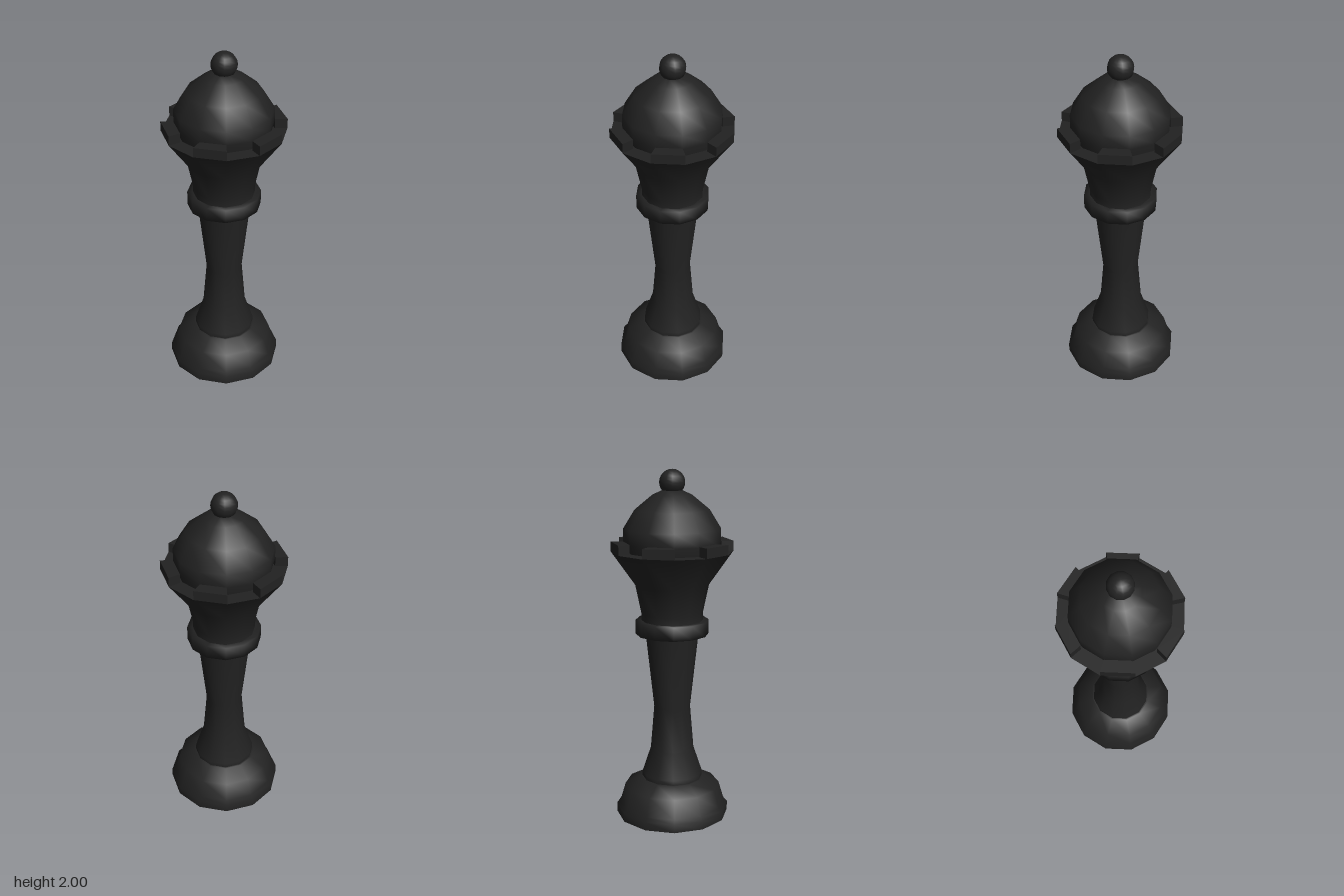
import * as THREE from 'three';

const SIDES = 12;
const HALF = Math.PI / SIDES;
const CORNER = 1 / Math.cos(HALF); // flat-to-centre distance -> corner radius

export function createModel() {
  const group = new THREE.Group();
  group.name = 'chessQueen';
  const ebony = new THREE.MeshStandardMaterial({ color: 0x222222, side: THREE.DoubleSide });
  ebony.name = 'ebony';

  // Twelve-sided turned part; profile of [flat distance, height] from bottom to top
  function turned(name, profile) {
    const points = profile.map(([r, y]) => new THREE.Vector2(r * CORNER, y));
    const mesh = new THREE.Mesh(new THREE.LatheGeometry(points, SIDES, HALF), ebony);
    mesh.name = name;
    group.add(mesh);
  }

  // Hollow foot, open underneath
  turned('base', [[0.315, 0], [0.315, 0.05], [0.295, 0.07], [0.265, 0.175], [0.178, 0.223], [0.165, 0.223]]);
  turned('stem', [[0.168, 0.22], [0.168, 0.25], [0.12, 0.4], [0.1, 0.65], [0.145, 1.08]]);
  turned('collar', [[0.14, 1.08], [0.2, 1.08], [0.2, 1.16], [0.16, 1.16]]);

  // Flared crown with a flat rim
  turned('crown', [[0.168, 1.16], [0.168, 1.2], [0.2, 1.36], [0.33, 1.55]]);
  turned('crownRim', [[0.33, 1.55], [0.24, 1.55]]);

  // Raised blocks on every second side of the rim
  const inner = 0.264, outer = 0.33, t = Math.tan(HALF);
  const block = new THREE.Shape([
    new THREE.Vector2(-inner * t, -inner),
    new THREE.Vector2(-outer * t, -outer),
    new THREE.Vector2(outer * t, -outer),
    new THREE.Vector2(inner * t, -inner),
  ]);
  const blockGeometry = new THREE.ExtrudeGeometry(block, { depth: 0.055, bevelEnabled: false });
  blockGeometry.rotateX(-Math.PI / 2);
  for (let i = 0; i < 6; i++) {
    const mesh = new THREE.Mesh(blockGeometry, ebony);
    mesh.name = 'crownBlock';
    mesh.position.y = 1.55;
    mesh.rotation.y = i * Math.PI / 3;
    group.add(mesh);
  }

  // Rounded cap and its finial
  turned('dome', [[0.25, 1.545], [0.262, 1.6], [0.262, 1.676], [0.2, 1.78], [0.105, 1.861], [0.05, 1.887], [0, 1.892]]);
  const finial = new THREE.Mesh(new THREE.SphereGeometry(0.0715, 12, 12), ebony);
  finial.name = 'finial';
  finial.position.y = 1.9285;
  finial.rotation.y = HALF;
  group.add(finial);

  return group;
}
